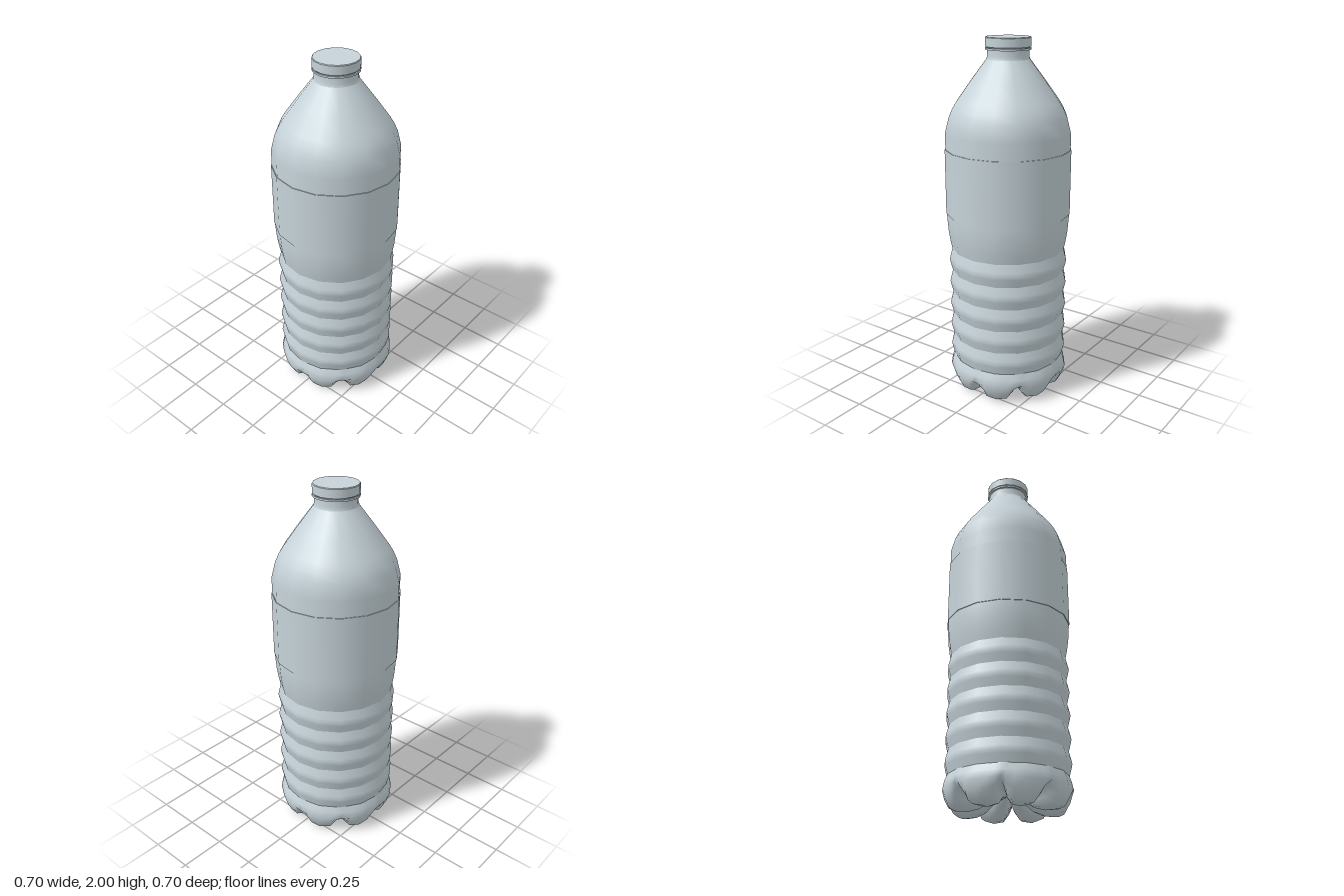
import * as THREE from 'three';
import { mergeGeometries } from 'three/addons/utils/BufferGeometryUtils.js';

const SIDES = 16;

// Each profile is smooth in itself; the joins between profiles stay sharp.
function turned(profiles) {
  return mergeGeometries(profiles.map((profile) =>
    new THREE.LatheGeometry(profile.map(([r, y]) => new THREE.Vector2(r, y)), SIDES)));
}

// Base with eight feet, separated by narrow radial grooves.
function footedBase(topRadius, topY) {
  // Per ring: foot radius, foot height, groove radius, groove height, roundness.
  const rings = [
    [topRadius, topY, topRadius, topY, 0],
    [0.334, 0.15, 0.33, 0.15, 0],
    [0.342, 0.11, 0.338, 0.115, 0.3],
    [0.326, 0.06, 0.3, 0.108, 1],
    [0.304, 0.015, 0.265, 0.102, 1],
    [0.27, 0, 0.23, 0.096, 1],
    [0.21, 0, 0.18, 0.092, 1],
    [0.15, 0.018, 0.135, 0.09, 1],
    [0.09, 0.06, 0.09, 0.09, 1],
    [0, 0.09, 0, 0.09, 1],
  ];
  const steps = [[0, 0], [0.1, 0.5], [0.25, 0.9], [0.5, 1], [0.75, 0.9], [0.9, 0.5]];
  const feet = 8;
  const count = feet * steps.length;
  const positions = [];
  const index = [];
  const facet = (2 * Math.PI) / SIDES;
  rings.forEach(([footR, footY, grooveR, grooveY, roundness], j) => {
    for (let i = 0; i < count; i++) {
      const [t, w] = steps[i % steps.length];
      const angle = ((Math.floor(i / steps.length) + t) / feet) * 2 * Math.PI;
      // Upper rings follow the flat facets of the body.
      const flat = Math.cos(facet / 2) / Math.cos((angle % facet) - facet / 2);
      const r = THREE.MathUtils.lerp(grooveR, footR, w) * THREE.MathUtils.lerp(flat, 1, roundness);
      positions.push(r * Math.sin(angle), THREE.MathUtils.lerp(grooveY, footY, w), r * Math.cos(angle));
      if (j < rings.length - 1) {
        const next = (i + 1) % count;
        const a = j * count + i, b = j * count + next;
        const c = a + count, d = b + count;
        index.push(a, c, b);
        if (j < rings.length - 2) index.push(b, c, d);
      }
    }
  });
  const geometry = new THREE.BufferGeometry();
  geometry.setAttribute('position', new THREE.Float32BufferAttribute(positions, 3));
  geometry.setIndex(index);
  geometry.computeVertexNormals();
  return geometry;
}

export function createModel() {
  const group = new THREE.Group();
  const plastic = new THREE.MeshStandardMaterial({ color: 0xc6d3d9 });
  plastic.name = 'pale blue grey plastic';

  const add = (name, geometry) => {
    const mesh = new THREE.Mesh(geometry, plastic);
    mesh.name = name;
    group.add(mesh);
  };

  // Shoulder, straight body and waist
  add('body', turned([[
    [0.319, 0.842], [0.329, 0.89], [0.338, 0.95], [0.344, 1.03], [0.344, 1.5],
    [0.322, 1.585], [0.302, 1.63], [0.277, 1.67], [0.205, 1.77], [0.118, 1.885],
  ]]));

  // Stacked bulges meeting in sharp valleys
  const valleys = [0.185, 0.315, 0.447, 0.578, 0.71, 0.842];
  const ribs = [];
  for (let i = 0; i < valleys.length - 1; i++) {
    const low = valleys[i], high = valleys[i + 1];
    const at = (t) => low + (high - low) * t;
    ribs.push([[0.319, low], [0.331, at(0.35)], [0.335, at(0.5)], [0.331, at(0.65)], [0.319, high]]);
  }
  add('ribs', turned(ribs));

  add('base', footedBase(0.319, valleys[0]));

  // Thin sleeve round the straight body
  add('label', turned([
    [[0.343, 1.05], [0.348, 1.05]],
    [[0.348, 1.05], [0.348, 1.41]],
    [[0.348, 1.41], [0.343, 1.41]],
  ]));

  add('neck', turned([[[0.118, 1.885], [0.113, 1.9], [0.113, 1.935]]]));

  add('capRing', turned([
    [[0.11, 1.934], [0.124, 1.934]],
    [[0.124, 1.934], [0.124, 1.944]],
    [[0.124, 1.944], [0.11, 1.944]],
  ]));

  add('cap', turned([
    [[0.11, 1.944], [0.118, 1.944], [0.118, 1.95]],
    [[0.118, 1.95], [0.123, 1.95]],
    [[0.123, 1.95], [0.123, 1.996]],
    [[0.123, 1.996], [0.12, 2]],
    [[0.12, 2], [0, 2]],
  ]));

  return group;
}
